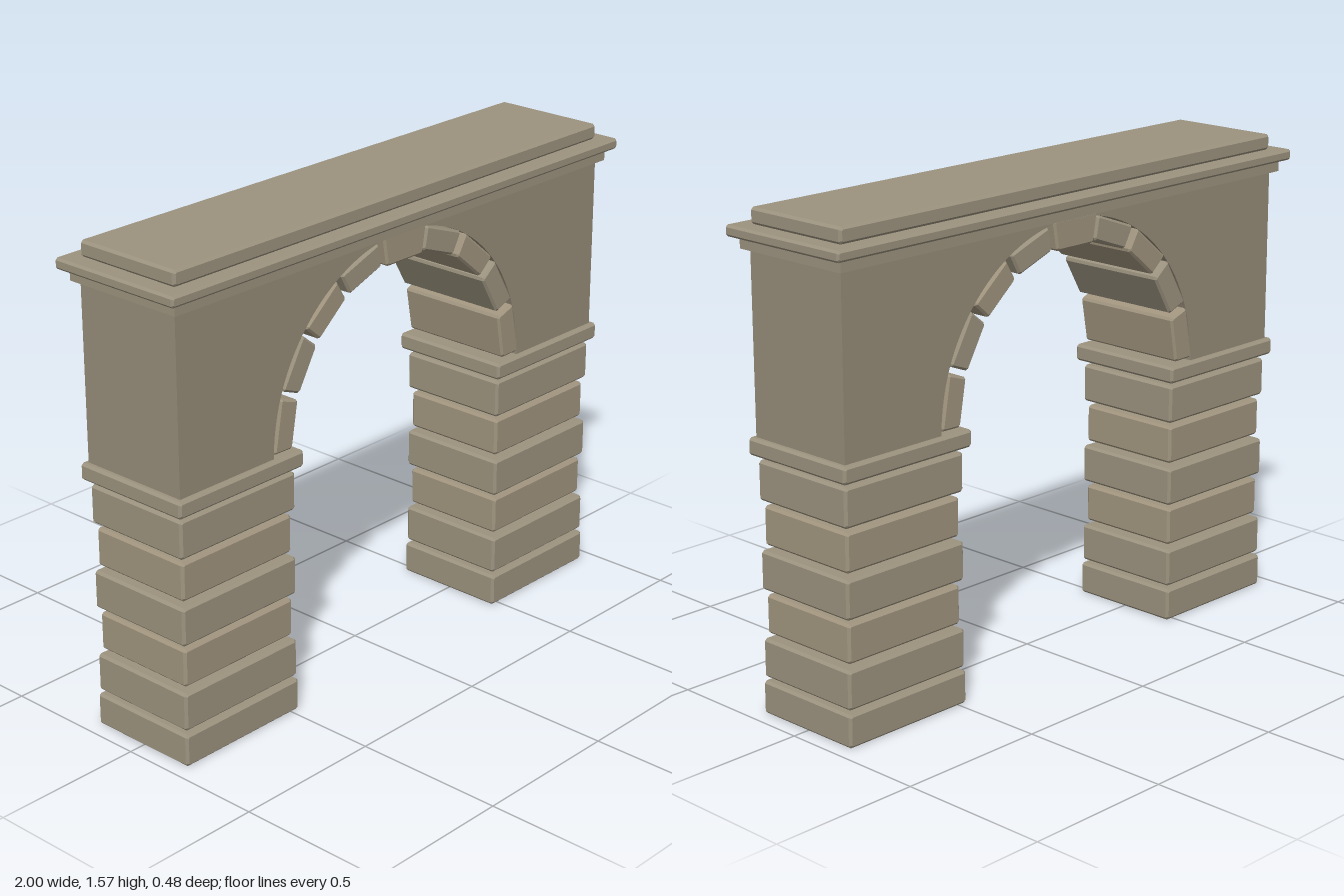
import * as THREE from 'three';

const BASE_Y = 0.88; // springing line of the arch
const stone = new THREE.MeshStandardMaterial({ color: 0x9c937f });
const warmStone = new THREE.MeshStandardMaterial({ color: 0xa1957f });
const wallStone = new THREE.MeshStandardMaterial({ color: 0x968c78, side: THREE.DoubleSide });

// Prism with chamfered edges from a convex counter-clockwise outline, centred on z
function chamferedPrism(corners, depth, b) {
  const pts = [];
  corners.forEach((c, i) => {
    const prev = corners[(i + corners.length - 1) % corners.length];
    const next = corners[(i + 1) % corners.length];
    for (const other of [prev, next]) {
      pts.push(c.clone().add(other.clone().sub(c).setLength(b)));
    }
  });
  const geo = new THREE.ExtrudeGeometry(new THREE.Shape(pts), {
    depth: depth - 2 * b, bevelEnabled: true, bevelSegments: 1,
    bevelSize: b, bevelThickness: b, bevelOffset: -b,
  });
  return geo.translate(0, 0, -depth / 2 + b);
}

function add(parent, name, geometry, material = stone) {
  const mesh = new THREE.Mesh(geometry, material);
  mesh.name = name;
  parent.add(mesh);
  return mesh;
}

// Chamfered block spanning y0..y1, centred on x and z
function block(parent, name, w, y0, y1, depth, material, b = 0.008) {
  const x = w / 2;
  const corners = [[-x, y0], [x, y0], [x, y1], [-x, y1]].map(p => new THREE.Vector2(...p));
  return add(parent, name, chamferedPrism(corners, depth, b), material);
}

// Stacked pier: plinth, five courses of alternating size, impost
function createPier(name, side) {
  const pier = new THREE.Group();
  pier.name = name;
  block(pier, 'plinth', 0.482, 0, 0.107, 0.39, stone);
  for (let i = 0; i < 5; i++) {
    const wide = i % 2 === 0;
    const y = 0.119 + i * 0.141;
    block(pier, 'course' + (i + 1), wide ? 0.476 : 0.456, y, y + 0.125,
      wide ? 0.384 : 0.366, wide ? stone : warmStone);
  }
  block(pier, 'impost', 0.514, 0.824, 0.879, 0.422, stone);
  pier.position.x = side * 0.709;
  return pier;
}

// Wedge stone pointing up, measured from the arch centre
function wedge(rIn, rOut, halfAngle, depth) {
  const t = Math.tan(halfAngle);
  const corners = [[-rIn * t, rIn], [rIn * t, rIn], [rOut * t, rOut], [-rOut * t, rOut]];
  return chamferedPrism(corners.map(p => new THREE.Vector2(...p)), depth, 0.007);
}

export function createModel() {
  const model = new THREE.Group();
  model.name = 'stoneArchway';

  model.add(createPier('leftPier', 1), createPier('rightPier', -1));

  // Wall above the piers with the round opening
  const R = 0.564;
  const outline = new THREE.Shape();
  outline.moveTo(R, BASE_Y - 0.002);
  outline.lineTo(0.947, BASE_Y - 0.002);
  outline.lineTo(0.947, 1.455);
  outline.lineTo(-0.947, 1.455);
  outline.lineTo(-0.947, BASE_Y - 0.002);
  outline.lineTo(-R, BASE_Y - 0.002);
  outline.absarc(0, BASE_Y, R, Math.PI, 0, true);
  const wall = new THREE.ExtrudeGeometry(outline, { depth: 0.386, bevelEnabled: false, curveSegments: 32 });
  add(model, 'spandrelWall', wall.translate(0, 0, -0.193), wallStone);

  // Ring of nine wedge stones, the middle one a larger keystone
  const ring = new THREE.Group();
  ring.name = 'archRing';
  ring.position.y = BASE_Y;
  for (let i = 0; i < 9; i++) {
    const key = i === 4;
    const geo = key
      ? wedge(0.474, 0.571, THREE.MathUtils.degToRad(9.7), 0.414)
      : wedge(0.481, 0.559, THREE.MathUtils.degToRad(8.9), 0.396);
    const mesh = add(ring, key ? 'keystone' : 'archStone' + (i + 1), geo, i % 2 ? stone : warmStone);
    mesh.rotation.z = THREE.MathUtils.degToRad(80 - i * 20);
  }
  model.add(ring);

  // Cornice: bed moulding, projecting shelf and cap
  add(model, 'corniceBed', new THREE.BoxGeometry(1.934, 0.04, 0.43).translate(0, 1.467, 0));
  block(model, 'corniceShelf', 2, 1.484, 1.519, 0.484, stone, 0.007);
  block(model, 'corniceCap', 1.892, 1.519, 1.57, 0.386, stone);

  return model;
}
